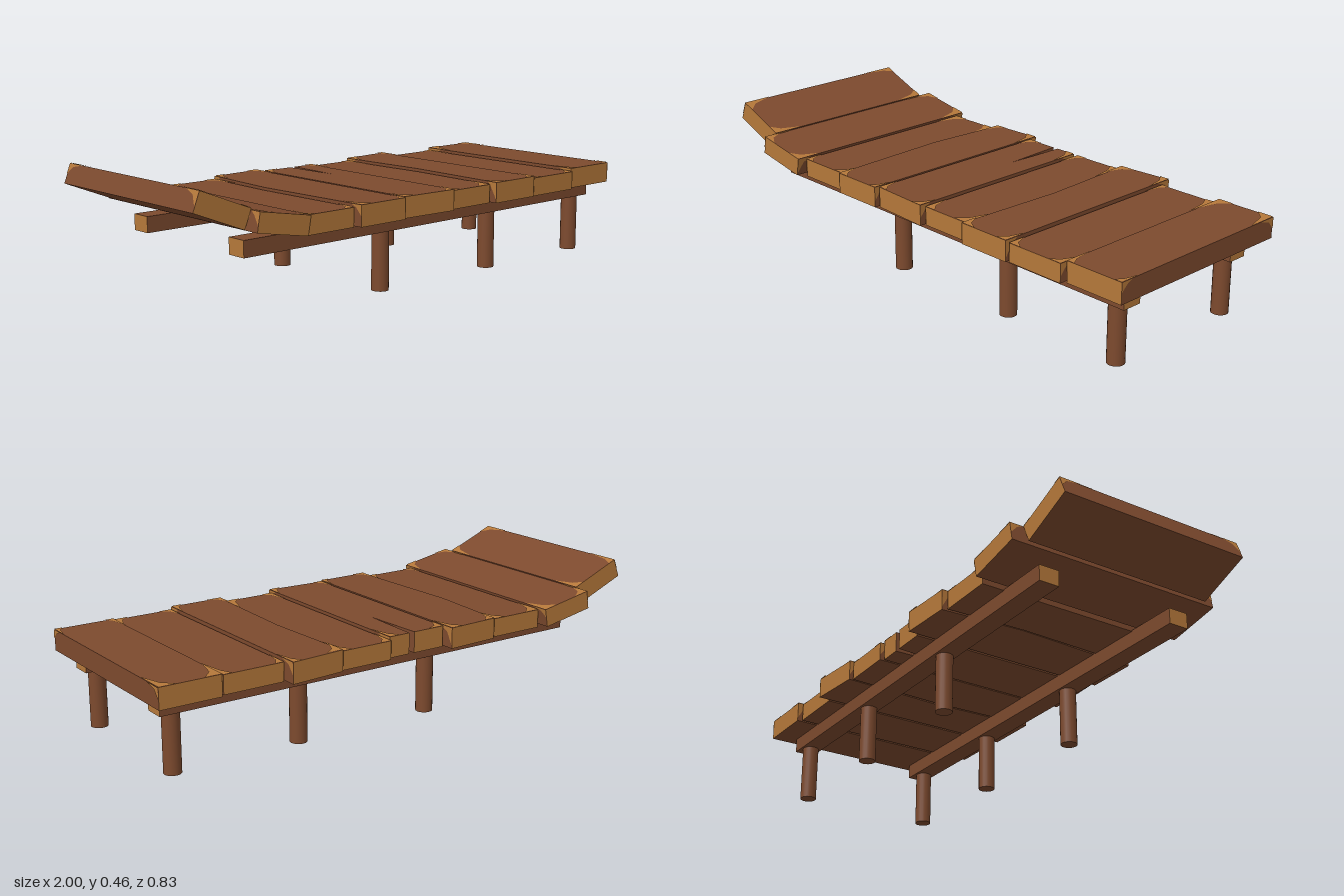
import * as THREE from 'three';

const brown = new THREE.MeshStandardMaterial({ color: 0x7d4a2e });
brown.name = 'brown wood';
const light = new THREE.MeshStandardMaterial({ color: 0xb5783a, side: THREE.DoubleSide });
light.name = 'cut wood';

// Each plank: centre x and y, tilt, thickness, and its outline seen from above as [x, z],
// relative to the centre x. The first four points are the corners, extras are bends or splits.
const rect = (x0, x1, back, front) => [[x0, back], [x1, back], [x1, front], [x0, front]];
const PLANKS = [
  { x: -0.885, y: 0.39, tilt: -0.38, t: 0.072, pts: rect(-0.107, 0.104, -0.365, 0.368) },
  { x: -0.68, y: 0.328, tilt: -0.18, t: 0.068, pts: rect(-0.105, 0.105, -0.42, 0.415) },
  { x: -0.46, pts: rect(-0.106, 0.106, -0.385, 0.38), right: [0.093, -0.08], t: 0.068, y: 0.302 },
  { x: -0.24, pts: [[-0.1, -0.4], [0.102, -0.41], [0.102, 0.402], [-0.1, 0.402]], left: [-0.122, -0.08] },
  { x: -0.01, pts: [[-0.118, -0.37], [0.114, -0.37], [0.114, 0.4], [-0.118, 0.388]], split: [0.02, -0.14] },
  { x: 0.21, pts: rect(-0.1, 0.102, -0.385, 0.38), right: [0.117, 0], t: 0.068, y: 0.302 },
  { x: 0.42, pts: [[-0.1, -0.397], [0.107, -0.414], [0.107, 0.405], [-0.1, 0.405]], left: [-0.082, -0.02] },
  { x: 0.65, pts: rect(-0.115, 0.112, -0.37, 0.396), t: 0.068, y: 0.302 },
  { x: 0.887, pts: rect(-0.112, 0.113, -0.385, 0.38) },
];

// Seeded variation for the worn corners
let seed = 7;
const rand = () => (seed = (seed * 16807) % 2147483647) / 2147483647;

// Flat polygon as a fan of triangles
function facet(points) {
  const geo = new THREE.BufferGeometry();
  geo.setAttribute('position', new THREE.Float32BufferAttribute(points.flat(), 3));
  geo.setIndex(points.length === 4 ? [0, 1, 2, 0, 2, 3] : [0, 1, 2]);
  // Wind the fan so it faces up or outward
  const [a, b, c] = points.map(p => new THREE.Vector3(...p));
  const n = b.sub(a).cross(c.sub(a));
  if (n.y < -1e-6 || (Math.abs(n.y) < 1e-6 && n.x * a.x < 0)) geo.setIndex([...geo.index.array].reverse());
  geo.computeVertexNormals();
  return geo;
}

function addMesh(parent, name, geo, mat) {
  const mesh = new THREE.Mesh(geo, mat);
  mesh.name = name;
  parent.add(mesh);
  return mesh;
}

function makePlank({ x, y = 0.307, tilt = 0, t = 0.076, pts, left, right, split }) {
  const group = new THREE.Group();
  group.name = 'plank';
  const [bl, br, fr, fl] = pts;
  const outline = [bl];
  if (split) outline.push([split[0] - 0.012, bl[1]], split, [split[0] + 0.01, bl[1]]);
  outline.push(br);
  if (right) outline.push(right);
  outline.push(fr, fl);
  if (left) outline.push(left);

  const shape = new THREE.Shape(outline.map(([px, pz]) => new THREE.Vector2(px, -pz)));
  const geo = new THREE.ExtrudeGeometry(shape, { depth: t, bevelEnabled: false });
  geo.rotateX(-Math.PI / 2).translate(0, -t / 2, 0);

  // Sawn end faces get the light wood, everything else the brown
  geo.clearGroups();
  const normal = geo.attributes.normal;
  for (let i = 0; i < normal.count; i += 3) {
    geo.addGroup(i, 3, Math.abs(normal.getZ(i)) > 0.8 ? 1 : 0);
  }
  addMesh(group, 'board', geo, [brown, light]);

  // Worn patches on the top and on the long sides at each corner
  const top = t / 2 + 0.002;
  for (const [cx, cz] of pts) {
    const sx = Math.sign(cx), sz = Math.sign(cz);
    const w = 0.03 + rand() * 0.035, l = 0.06 + rand() * 0.08;
    addMesh(group, 'wornTop', facet([
      [cx, top, cz],
      [cx - sx * w, top, cz],
      [cx - sx * w * 0.4, top, cz - sz * l * 0.3],
      [cx, top, cz - sz * l],
    ]), light);
    const d = t * (0.4 + rand() * 0.5), s = cx + sx * 0.002;
    addMesh(group, 'wornSide', facet([
      [s, t / 2, cz],
      [s, t / 2 - d, cz],
      [s, t / 2 - d * 0.3, cz - sz * 0.025],
      [s, t / 2, cz - sz * l * 0.6],
    ]), light);
  }
  group.position.set(x, y, 0);
  group.rotation.z = tilt;
  return group;
}

export function createModel() {
  const model = new THREE.Group();
  model.name = 'dock';

  // Deck
  for (const p of PLANKS) model.add(makePlank(p));

  // Two beams with light ends, each on three round posts
  for (const z of [0.275, -0.261]) {
    const beam = addMesh(model, 'beam', new THREE.BoxGeometry(1.72, 0.058, 0.077),
      [light, light, brown, brown, brown, brown]);
    beam.position.set(0.095, 0.243, z);
    for (const x of [-0.135, 0.41, 0.897]) {
      const post = addMesh(model, 'post', new THREE.CylinderGeometry(0.031, 0.031, 0.216, 20), brown);
      post.position.set(x, 0.108, z);
    }
  }
  return model;
}
